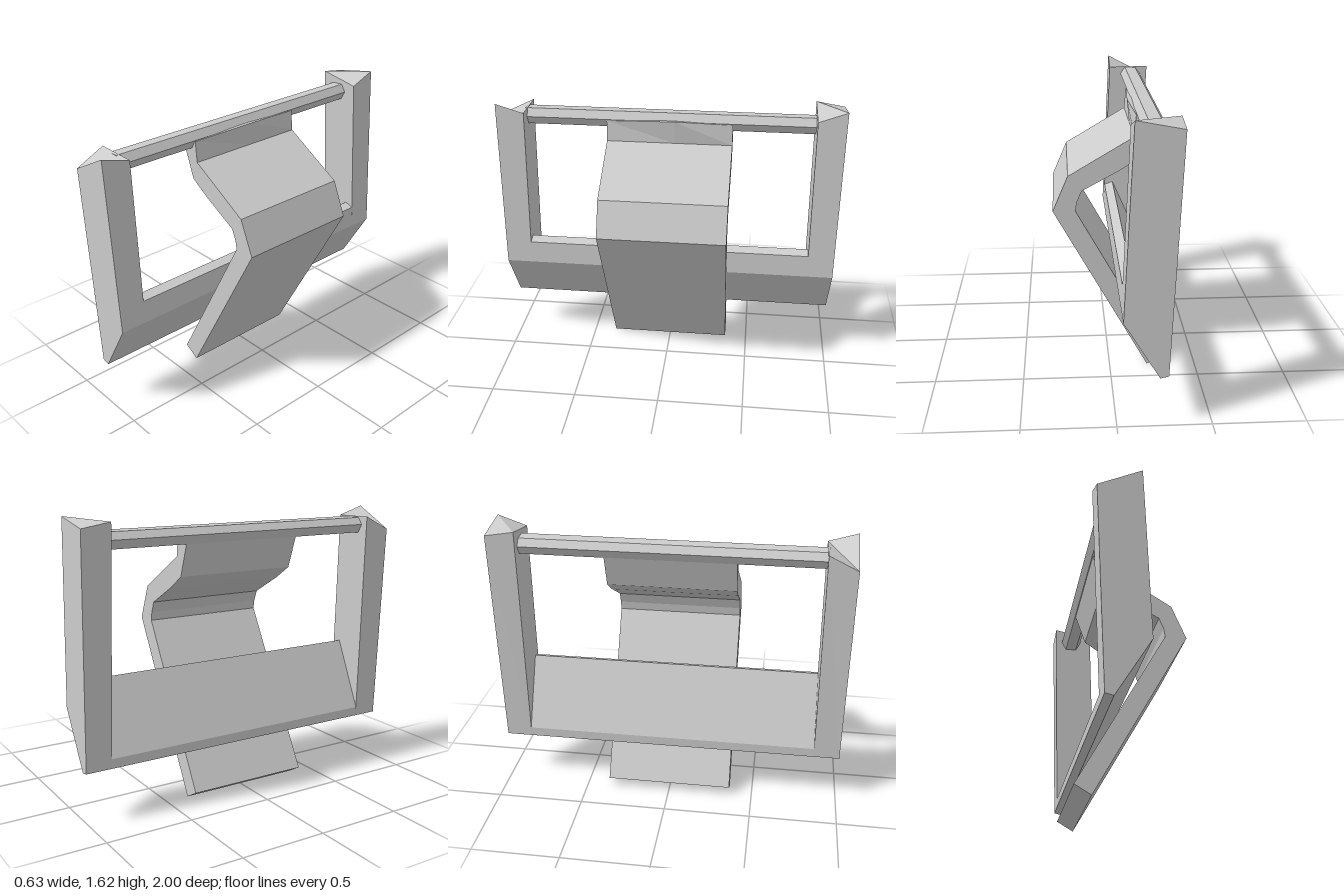
import * as THREE from 'three';

const material = new THREE.MeshStandardMaterial({ color: 0xcccccc, flatShading: true });

// Joins matching counter-clockwise [x, y] sections, listed from back (-z) to front (+z), into a closed solid.
// Each section's depth is a number or a function of the point's height.
function loft(name, sections) {
  const n = sections[0].points.length;
  const corners = sections.map(({ z, points }) =>
    points.map(([x, y]) => [x, y, typeof z === 'function' ? z(y) : z]));
  const out = [];
  const tri = (a, b, c) => out.push(...a, ...b, ...c);
  for (let s = 0; s < corners.length - 1; s++) {
    const a = corners[s], b = corners[s + 1];
    for (let i = 0; i < n; i++) {
      const j = (i + 1) % n;
      tri(a[i], a[j], b[j]);
      tri(a[i], b[j], b[i]);
    }
  }
  const contour = sections[0].points.map(([x, y]) => new THREE.Vector2(x, y));
  const back = corners[0], front = corners[corners.length - 1];
  for (const [i, j, k] of THREE.ShapeUtils.triangulateShape(contour, [])) {
    tri(back[k], back[j], back[i]);
    tri(front[i], front[j], front[k]);
  }
  const geometry = new THREE.BufferGeometry();
  geometry.setAttribute('position', new THREE.Float32BufferAttribute(out, 3));
  geometry.computeVertexNormals();
  const mesh = new THREE.Mesh(geometry, material);
  mesh.name = name;
  return mesh;
}

// Post outline, with its own slanted top on each side
const postOutline = (frontTop, backTop) =>
  [[-0.265, 0.295], [-0.22, 0.285], [-0.03, 0.6], frontTop, backTop];

export function createModel() {
  const model = new THREE.Group();
  model.name = 'buckle';

  // Frame: two upright posts joined by a wedge-shaped lower bar
  const frame = new THREE.Group();
  frame.name = 'frame';
  const inner = (y) => 0.855 - 0.012 * y;
  frame.add(
    loft('frontPost', [
      { z: inner, points: postOutline([-0.07, 1.555], [-0.315, 1.56]) },
      { z: 1, points: postOutline([-0.07, 1.605], [-0.315, 1.48]) },
    ]),
    loft('backPost', [
      { z: -1, points: postOutline([-0.075, 1.625], [-0.315, 1.58]) },
      { z: (y) => -inner(y), points: postOutline([-0.07, 1.565], [-0.315, 1.607]) },
    ]),
  );
  const barOutline = [[-0.265, 0.295], [-0.22, 0.285], [-0.03, 0.6],
    [-0.036, 0.735], [-0.09, 0.755], [-0.267, 0.35]];
  frame.add(loft('lowerBar', [-0.87, 0.87].map((z) => ({ z, points: barOutline }))));
  model.add(frame);

  // Six-sided pin between the tops of the posts
  const pinOutline = [[-0.24, 1.46], [-0.17, 1.46], [-0.142, 1.51],
    [-0.17, 1.555], [-0.24, 1.55], [-0.27, 1.51]];
  model.add(loft('pin', [-0.85, 0.85].map((z) => ({ z, points: pinOutline }))));

  // Bent tongue hooked under the pin, with a slight peak in the middle of the hook
  const tongueOutline = (hookTip) => [
    [-0.22, 0.005], [0.315, 0.97], [0.23, 1.17], [-0.13, 1.385], hookTip,
    [-0.25, 1.5], [-0.17, 1.275], [-0.055, 1.2],
    [0.155, 1.085], [0.182, 1.02], [0.19, 0.97], [-0.315, 0.06],
  ];
  model.add(loft('tongue', [
    { z: -0.365, points: tongueOutline([-0.14, 1.505]) },
    { z: -0.03, points: tongueOutline([-0.116, 1.52]) },
    { z: 0.365, points: tongueOutline([-0.14, 1.505]) },
  ]));

  return model;
}
